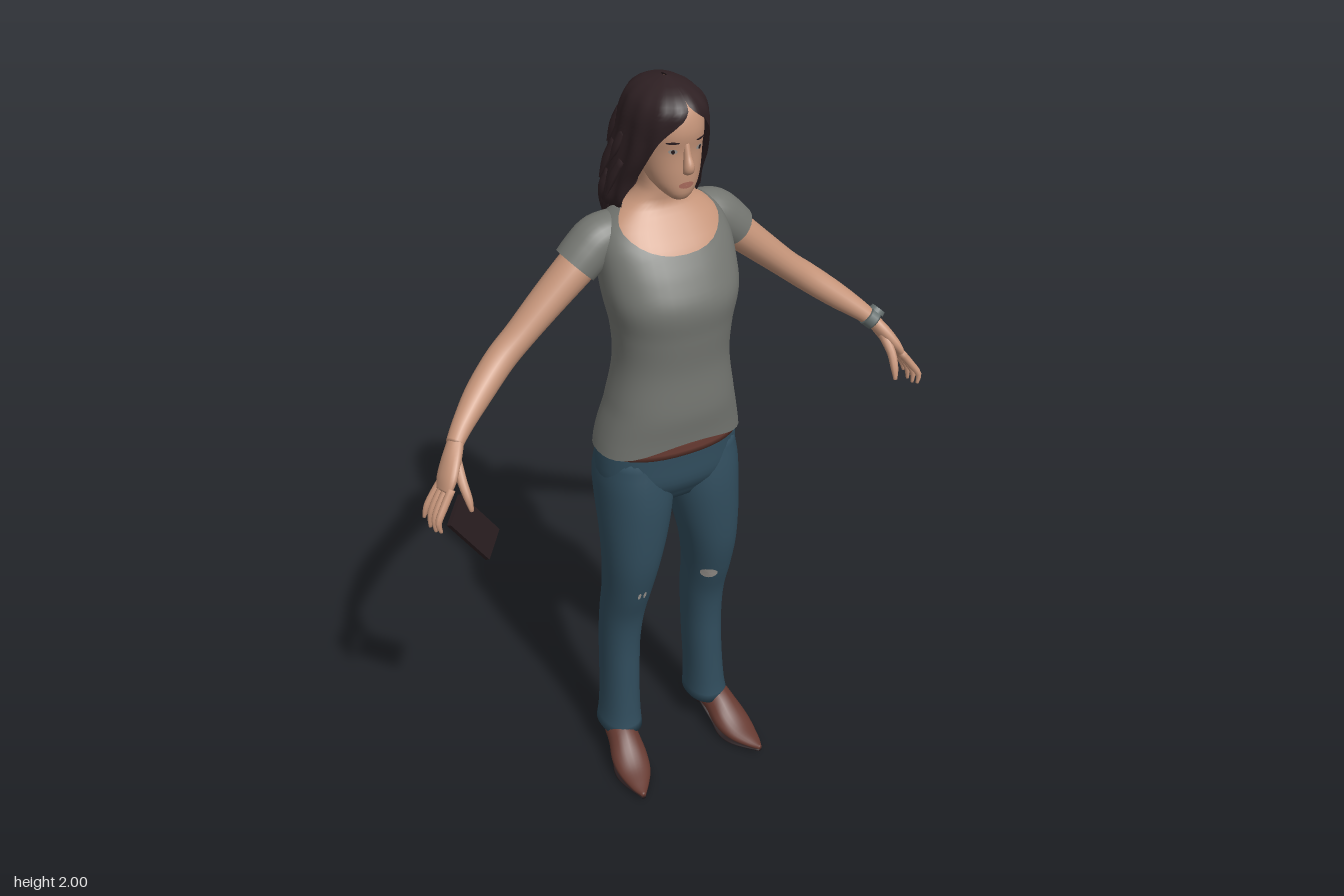
import * as THREE from 'three';

const V = (x, y, z) => new THREE.Vector3(x, y, z);
const mat = (name, color, double) => {
  const m = new THREE.MeshStandardMaterial({ color });
  m.name = name;
  if (double) m.side = THREE.DoubleSide;
  return m;
};

// Catmull-Rom blend of table rows, at segment i and fraction t
function blend(rows, i, t) {
  const last = rows.length - 1;
  const [a, b, c, d] = [-1, 0, 1, 2].map(k => rows[Math.min(last, Math.max(0, i + k))]);
  return b.map((_, k) => 0.5 * (2 * b[k] + (c[k] - a[k]) * t
    + (2 * a[k] - 5 * b[k] + 4 * c[k] - d[k]) * t * t
    + (3 * b[k] - a[k] - 3 * c[k] + d[k]) * t * t * t));
}

// Row of a table at height y (first column is y)
function rowAt(rows, y) {
  let i = 0;
  while (i < rows.length - 2 && y > rows[i + 1][0]) i++;
  const t = (y - rows[i][0]) / (rows[i + 1][0] - rows[i][0]);
  return blend(rows, i, Math.min(1, Math.max(0, t)));
}

// Upright body surface from rows [y, centre x, half width, front z, back z]; angle 0 is the front
function surface(rows, power = 1) {
  const soft = v => Math.sign(v) * Math.pow(Math.abs(v), power);
  return (y, a, out = 0) => {
    const [, cx, rx, zf, zb] = rowAt(rows, y);
    const s = Math.sin(a), c = Math.cos(a);
    return V(cx + Math.max(0.001, rx) * soft(s) + out * s, y,
      (zf + zb) / 2 + Math.max(0.001, (zf - zb) / 2) * soft(c) + out * c);
  };
}

// Skin of quads over rings of points, with optional end caps
function skin(rings, closed = true, caps = false) {
  const n = rings[0].length, pts = rings.flat(), index = [];
  for (let i = 0; i < rings.length - 1; i++) {
    for (let j = 0; j < (closed ? n : n - 1); j++) {
      const k = (j + 1) % n, a = i * n + j, b = i * n + k;
      index.push(a, b, b + n, a, b + n, a + n);
    }
  }
  if (caps) [0, rings.length - 1].forEach(i => {
    const mid = rings[i].reduce((m, p) => m.add(p), V(0, 0, 0)).divideScalar(n);
    const at = pts.push(mid) - 1;
    for (let j = 0; j < n; j++) {
      const a = i * n + j, b = i * n + (j + 1) % n;
      if (i) index.push(at, a, b); else index.push(at, b, a);
    }
  });
  const g = new THREE.BufferGeometry().setFromPoints(pts);
  g.setIndex(index);
  g.computeVertexNormals();
  return g;
}

// Part of a body surface between two heights, which may vary with the angle
function wrap(f, low, high, steps, { out = 0, caps = false, n = 40 } = {}) {
  const get = (v, a) => (typeof v === 'function' ? v(a) : v);
  return skin(Array.from({ length: steps + 1 }, (_, i) => Array.from({ length: n }, (_, j) => {
    const a = j / n * Math.PI * 2;
    return f(THREE.MathUtils.lerp(get(low, a), get(high, a), i / steps), a, out);
  })), true, caps);
}

// Tapering limb through rows [x, y, z, radius, radius]; side mirrors x
function limb(rows, { side = 1, ref = V(0, 0, 1), n = 14, steps = 5, caps = true } = {}) {
  const line = [];
  for (let i = 0; i < rows.length - 1; i++)
    for (let k = 0; k < steps; k++) line.push(blend(rows, i, k / steps));
  line.push(rows[rows.length - 1]);
  const mid = line.map(p => V(p[0] * side, p[1], p[2]));
  return skin(line.map((p, i) => {
    const d = mid[Math.min(i + 1, mid.length - 1)].clone().sub(mid[Math.max(i - 1, 0)]).normalize();
    const u = d.clone().cross(ref).normalize(), v = d.clone().cross(u);
    return Array.from({ length: n }, (_, j) => {
      const a = j / n * Math.PI * 2;
      return mid[i].clone().addScaledVector(u, Math.cos(a) * p[3]).addScaledVector(v, Math.sin(a) * p[4]);
    });
  }), true, caps);
}

// Thin oval painted on a body surface
function patch(f, y, a, hy, ha, out = 0.003, n = 14) {
  const ring = k => Array.from({ length: n }, (_, j) => {
    const t = -j / n * Math.PI * 2;
    return f(y + Math.cos(t) * hy * k, a - Math.sin(t) * ha * k, out);
  });
  return skin([ring(1), ring(0.5), ring(0.02)].map(r => r.reverse()));
}

export function createModel() {
  const root = new THREE.Group();
  root.name = 'woman';
  const skinTone = mat('skin', 0xc6957a), hairTone = mat('darkBrownHair', 0x2e2023, true);
  const cloth = mat('greyCloth', 0x747671, true), denim = mat('blueDenim', 0x304c5c, true);
  const leather = mat('brownLeather', 0x663a31), dark = mat('nearBlack', 0x271c1e);
  const metal = mat('watchGrey', 0x66706f), lip = mat('lips', 0xac6d5e, true);
  const pale = mat('paleGrey', 0xa09a94, true);
  const add = (name, geometry, material) => {
    const m = new THREE.Mesh(geometry, material);
    m.name = name;
    root.add(m);
    return m;
  };

  // Shirt, chest and neck share one profile
  const torso = surface([
    [1.04, 0, 0.198, 0.118, -0.143], [1.1, 0, 0.188, 0.122, -0.14], [1.18, 0, 0.168, 0.132, -0.125],
    [1.3, 0, 0.148, 0.13, -0.105], [1.4, 0, 0.152, 0.14, -0.11], [1.48, 0, 0.168, 0.147, -0.125],
    [1.55, 0, 0.172, 0.118, -0.135], [1.61, 0, 0.168, 0.082, -0.135], [1.655, 0, 0.15, 0.045, -0.13],
    [1.685, 0, 0.115, 0.02, -0.118], [1.7, 0, 0.085, 0.012, -0.105], [1.73, 0, 0.058, 0.015, -0.09],
    [1.8, 0, 0.054, 0.02, -0.08]], 0.88);
  const front = a => Math.max(0, Math.cos(a));
  add('shirt', wrap(torso, a => 1.055 + 0.04 * front(a) ** 4, a => 1.695 - 0.095 * front(a) ** 1.4, 36), cloth);
  add('chestAndNeck', wrap(torso, 1.5, 1.8, 24, { out: -0.004 }), skinTone);

  // Hips and belt
  const hips = surface([[0.9, 0, 0.15, 0.07, -0.1], [0.96, 0, 0.188, 0.105, -0.135],
    [1.03, 0, 0.19, 0.108, -0.135], [1.09, 0, 0.182, 0.108, -0.125]], 0.88);
  add('hips', wrap(hips, 0.9, 1.075, 10, { caps: true }), denim);
  add('belt', wrap(hips, 1.055, 1.095, 3, { out: 0.004, caps: true }), leather);

  // Head and face
  const head = surface([[1.733, 0, 0.02, 0.07, 0.03], [1.745, 0, 0.036, 0.079, 0], [1.77, 0, 0.055, 0.083, -0.04],
    [1.8, 0, 0.066, 0.085, -0.07], [1.85, 0, 0.073, 0.086, -0.09], [1.9, 0, 0.076, 0.093, -0.1],
    [1.95, 0, 0.068, 0.08, -0.1], [1.98, 0, 0.04, 0.04, -0.07], [1.99, 0, 0.01, 0, -0.03]], 0.92);
  add('head', wrap(head, 1.733, 1.99, 28, { caps: true }), skinTone);
  add('nose', limb([[0, 1.875, 0.084, 0.007, 0.006], [0, 1.845, 0.089, 0.009, 0.011],
    [0, 1.82, 0.096, 0.013, 0.015], [0, 1.806, 0.09, 0.012, 0.008]], { ref: V(0, 0, 1) }), skinTone);
  add('lips', patch(head, 1.773, 0, 0.008, 0.3), lip);
  for (const s of [-1, 1]) {
    add('eye', patch(head, 1.859, s * 0.42, 0.006, 0.14), pale);
    add('iris', patch(head, 1.859, s * 0.42, 0.0055, 0.055, 0.0045), dark);
    add('eyebrow', patch(head, 1.88, s * 0.44, 0.003, 0.2), hairTone);
  }

  // Hair: rows add the opening angle round the face on the left and right
  const hairRows = [[1.53, 0, 0.035, -0.125, -0.19, 0, 0], [1.6, 0, 0.085, -0.07, -0.188, 0, 0],
    [1.66, 0, 0.105, -0.03, -0.182, 0.8, 0.8], [1.7, 0, 0.12, 0.005, -0.178, 1, 1],
    [1.76, 0, 0.116, 0.03, -0.172, 0.85, 0.85], [1.82, 0, 0.108, 0.07, -0.162, 0.8, 0.8],
    [1.88, 0, 0.1, 0.092, -0.15, 0.75, 0.64], [1.92, 0, 0.094, 0.1, -0.14, 0.55, 0.3],
    [1.945, 0, 0.086, 0.099, -0.131, 0.2, 0.05], [1.965, 0, 0.074, 0.085, -0.118, 0, 0],
    [1.988, 0, 0.046, 0.05, -0.085, 0, 0], [2, 0, 0.004, -0.01, -0.03, 0, 0]];
  const hair = surface(hairRows, 0.95);
  const wave = (y, a) => 0.004 * Math.sin(a * 13 + y * 9) * Math.min(1, (2 - y) * 8);
  add('hair', skin(Array.from({ length: 49 }, (_, i) => {
    const y = 1.53 + 0.47 * i / 48, row = rowAt(hairRows, y);
    const from = Math.max(0, row[5]), to = Math.PI * 2 - Math.max(0, row[6]);
    return Array.from({ length: 65 }, (_, j) => {
      const a = from + (to - from) * j / 64;
      return hair(y, a, wave(y, a));
    });
  }), false), hairTone);

  // Loose locks that break up the outline of the hair
  for (let i = 0; i < 34; i++) {
    const a = 1.35 + (i * 0.618 % 1) * (Math.PI * 2 - 2.7), y = 1.62 + 0.3 * i / 33;
    const fall = i % 3 ? 0.085 : 0.1;
    const [p, q, r] = [hair(y, a, -0.004), hair(y - fall / 2, a, 0.003), hair(y - fall, a, 0.009)];
    add('hairLock', limb([[p.x, p.y, p.z, 0.006, 0.012], [q.x, q.y, q.z, 0.008, 0.014],
      [r.x, r.y, r.z, 0.001, 0.001]], { n: 6, steps: 3 }), hairTone);
  }

  for (const s of [-1, 1]) {
    const part = (name, rows, material, options) => add(name, limb(rows, { side: s, ...options }), material);

    // Sleeve and arm
    part('sleeve', [[0.09, 1.632, -0.06, 0.045, 0.055], [0.15, 1.618, -0.06, 0.056, 0.061],
      [0.185, 1.59, -0.06, 0.058, 0.062], [0.217, 1.56, -0.06, 0.055, 0.06]], cloth, { caps: false, n: 24 });
    part('arm', [[0.15, 1.61, -0.06, 0.045, 0.05], [0.21, 1.56, -0.06, 0.046, 0.051],
      [0.29, 1.49, -0.058, 0.041, 0.047], [0.37, 1.42, -0.052, 0.036, 0.041], [0.43, 1.372, -0.042, 0.036, 0.038],
      [0.5, 1.317, -0.012, 0.033, 0.035], [0.56, 1.27, 0.025, 0.025, 0.027],
      [0.592, 1.24, 0.047, 0.019, 0.024]], skinTone, { n: 20 });

    // Hand with four fingers and a thumb
    part('palm', [[0.585, 1.248, 0.042, 0.018, 0.022], [0.608, 1.215, 0.064, 0.019, 0.032],
      [0.63, 1.18, 0.083, 0.017, 0.038], [0.645, 1.153, 0.092, 0.011, 0.034]], skinTone);
    for (let k = 0; k < 4; k++) {
      const z = 0.064 + k * 0.018, drop = [0.012, 0, 0.002, 0.014][k];
      part('finger', [[0.635, 1.168, z, 0.01, 0.01], [0.663, 1.13, z + 0.004 * k, 0.0095, 0.0095],
        [0.681, 1.095 + drop * 0.5, z + 0.007 * k, 0.008, 0.008],
        [0.689 - k * 0.004, 1.062 + drop, z + 0.008 * k, 0.004, 0.004]], skinTone, { n: 8, steps: 3 });
    }
    part('thumb', [[0.602, 1.212, 0.076, 0.014, 0.014], [0.605, 1.175, 0.113, 0.012, 0.012],
      [0.602, 1.14, 0.136, 0.01, 0.01], [0.6, 1.112, 0.146, 0.005, 0.005]], skinTone, { n: 8, steps: 3 });

    // Trouser leg, from rows of height, inner x, outer x, front z and back z
    const leg = surface([[0.095, 0.082, 0.2, 0.042, -0.112], [0.13, 0.084, 0.193, 0.035, -0.11],
      [0.2, 0.085, 0.187, 0.03, -0.11], [0.3, 0.082, 0.183, 0.026, -0.115], [0.4, 0.078, 0.182, 0.025, -0.115],
      [0.5, 0.07, 0.182, 0.037, -0.105], [0.6, 0.062, 0.183, 0.07, -0.09], [0.7, 0.045, 0.188, 0.095, -0.086],
      [0.8, 0.022, 0.192, 0.105, -0.1], [0.9, 0.003, 0.194, 0.107, -0.13], [0.97, 0, 0.193, 0.1, -0.135],
      [1.04, 0, 0.183, 0.088, -0.12]].map(([y, xi, xo, zf, zb]) => [y, s * (xi + xo) / 2, (xo - xi) / 2, zf, zb]), 0.9);
    add('trouserLeg', wrap(leg, 0.095, 1.04, 40, { caps: true, n: 32 }), denim);
    if (s > 0) add('kneeTear', patch(leg, 0.605, -0.5, 0.018, 0.38), pale);
    else for (const a of [-0.1, 0.1]) add('kneeTear', patch(leg, 0.62, a, 0.012, 0.06), pale);

    // Heeled ankle boot
    const along = { ref: V(0, 1, 0), n: 20 };
    part('bootFoot', [[0.145, 0.075, -0.095, 0.02, 0.02], [0.147, 0.085, -0.07, 0.035, 0.036],
      [0.15, 0.09, -0.03, 0.042, 0.045], [0.157, 0.074, 0.02, 0.044, 0.044], [0.165, 0.045, 0.07, 0.051, 0.036],
      [0.173, 0.03, 0.12, 0.045, 0.023], [0.184, 0.023, 0.17, 0.025, 0.014],
      [0.19, 0.022, 0.203, 0.006, 0.007]], leather, along);
    part('bootShaft', [[0.147, 0.07, -0.042, 0.042, 0.048], [0.143, 0.16, -0.04, 0.042, 0.05]], leather, { n: 20 });
    part('bootSole', [[0.147, 0.052, -0.085, 0.022, 0.006], [0.15, 0.045, -0.03, 0.03, 0.006],
      [0.16, 0.021, 0.03, 0.038, 0.007], [0.167, 0.008, 0.08, 0.049, 0.008], [0.175, 0.007, 0.13, 0.042, 0.007],
      [0.19, 0.013, 0.203, 0.006, 0.004]], dark, along);
    part('bootHeel', [[0.147, 0.065, -0.072, 0.026, 0.022], [0.147, 0.035, -0.076, 0.011, 0.012],
      [0.147, 0, -0.076, 0.008, 0.009]], dark, { n: 10 });
  }

  // Watch on the left wrist
  add('watchBand', limb([[0.574, 1.259, 0.034, 0.027, 0.03], [0.592, 1.242, 0.047, 0.026, 0.03]],
    { n: 20 }), metal);
  const dial = add('watchDial', new THREE.CylinderGeometry(0.02, 0.022, 0.012, 20), metal);
  dial.position.set(0.602, 1.269, 0.042);
  dial.quaternion.setFromUnitVectors(V(0, 1, 0), V(0.68, 0.73, 0).normalize());

  // Phone held in the right hand
  const phone = add('phone', new THREE.BoxGeometry(0.084, 0.16, 0.012), dark);
  const across = V(0.053, 0.035, -0.055).normalize(), up = V(-0.0875, 0.135, 0).normalize();
  const facing = across.clone().cross(up).normalize();
  phone.quaternion.setFromRotationMatrix(new THREE.Matrix4().makeBasis(across, facing.clone().cross(across), facing));
  phone.position.set(-0.589, 1.043, 0.118);

  return root;
}
